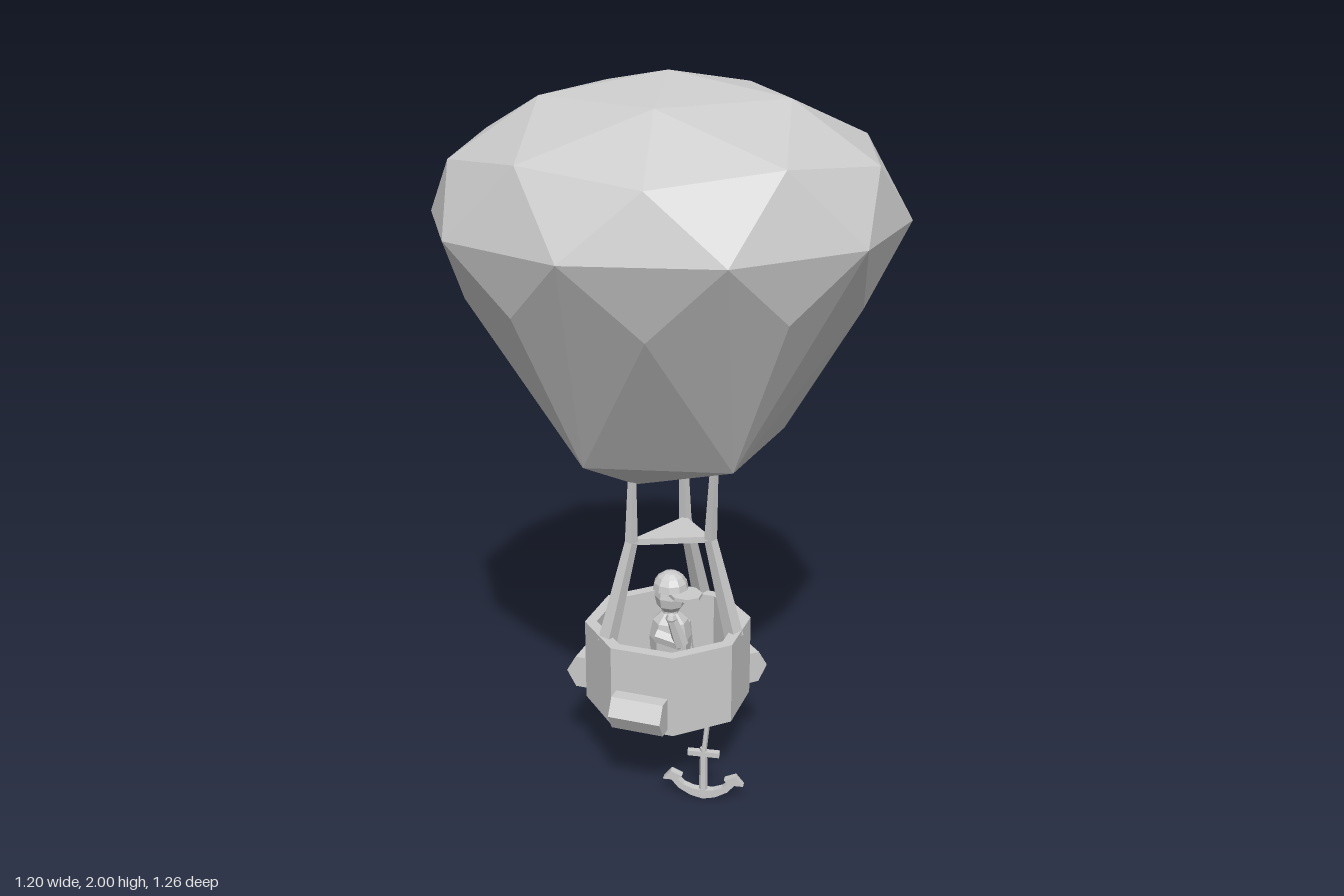
import * as THREE from 'three';
import { ConvexGeometry } from 'three/addons/geometries/ConvexGeometry.js';

const V = (x, y, z) => new THREE.Vector3(x, y, z);
const material = new THREE.MeshStandardMaterial({ color: 0xcccccc, flatShading: true, side: THREE.DoubleSide });

function add(parent, name, geometry, x = 0, y = 0, z = 0) {
  const mesh = new THREE.Mesh(geometry, material);
  mesh.name = name;
  mesh.position.set(x, y, z);
  parent.add(mesh);
  return mesh;
}

// Tapered bar between two points
function bar(parent, name, a, b, ra, rb, sides = 4) {
  const dir = b.clone().sub(a);
  const geometry = new THREE.CylinderGeometry(rb, ra, dir.length(), sides);
  geometry.rotateY(Math.PI / sides);
  const mesh = add(parent, name, geometry);
  mesh.position.copy(a).add(b).multiplyScalar(0.5);
  mesh.quaternion.setFromUnitVectors(V(0, 1, 0), dir.normalize());
  return mesh;
}

// Faceted envelope: rings of an icosphere, the lower half drawn down to a narrow mouth
function buildEnvelope(parent) {
  const points = [V(0, 2, 0), V(-0.11, 0.905, -0.02)];
  // radius, height, count, start angle in degrees
  const rings = [
    [0.331, 1.945, 5, 0], [0.563, 1.795, 5, 0], [0.536, 1.825, 5, 36],
    [0.63, 1.63, 10, 18],
    [0.563, 1.465, 5, 36], [0.536, 1.436, 5, 0], [0.331, 1.02, 5, 36],
  ];
  for (const [r, y, n, start] of rings) {
    for (let i = 0; i < n; i++) {
      const a = THREE.MathUtils.degToRad(start + (360 / n) * i);
      points.push(V(r * Math.cos(a), y, r * Math.sin(a)));
    }
  }
  add(parent, 'envelope', new ConvexGeometry(points));
}

// Hollow octagonal basket with three hexagonal bags on its sides
function buildBasket(parent) {
  const basket = new THREE.Group();
  basket.name = 'basket';
  basket.position.set(-0.012, 0, 0.01);
  parent.add(basket);
  const profile = [[0, 0.23], [0.237, 0.23], [0.237, 0.47], [0.203, 0.47], [0.203, 0.25], [0, 0.25]];
  add(basket, 'basketShell', new THREE.LatheGeometry(profile.map(p => new THREE.Vector2(...p)), 8));
  for (const degrees of [22.5, 157.5, -112.5]) {
    const a = THREE.MathUtils.degToRad(degrees);
    const geometry = new THREE.CylinderGeometry(0.055, 0.055, 0.15, 6).rotateZ(Math.PI / 2);
    const bag = add(basket, 'sideBag', geometry, 0.23 * Math.cos(a), 0.295, 0.23 * Math.sin(a));
    bag.rotation.y = Math.PI / 2 - a;
  }
}

// Three bent struts joined by a triangular plate
function buildRigging(parent) {
  const struts = [
    [V(0.06, 0.45, 0.195), V(0.03, 0.74, 0.13), V(0.02, 0.98, 0.15)],
    [V(0.205, 0.45, -0.05), V(0.095, 0.74, -0.02), V(0.085, 0.98, -0.02)],
    [V(-0.2, 0.45, -0.05), V(-0.13, 0.74, -0.02), V(-0.125, 0.94, -0.02)],
  ];
  for (const [base, knee, top] of struts) {
    bar(parent, 'lowerStrut', base, knee, 0.027, 0.018);
    bar(parent, 'upperStrut', knee, top, 0.018, 0.011);
  }
  const corners = struts.flatMap(([, k]) => [V(k.x, 0.73, k.z), V(k.x, 0.748, k.z)]);
  add(parent, 'spreaderPlate', new ConvexGeometry(corners));
}

// Passenger with a peaked cap and a raised right arm
function buildPassenger(parent) {
  const p = new THREE.Group();
  p.name = 'passenger';
  p.position.set(-0.035, 0, 0.04);
  parent.add(p);
  const torso = [[0, 0.25], [0.045, 0.25], [0.055, 0.36], [0.06, 0.44], [0.05, 0.49], [0.025, 0.515], [0.025, 0.54]];
  add(p, 'torso', new THREE.LatheGeometry(torso.map(q => new THREE.Vector2(...q)), 8));
  add(p, 'head', new THREE.SphereGeometry(0.045, 8, 6), 0, 0.565, 0).scale.y = 1.2;
  add(p, 'cap', new THREE.SphereGeometry(0.051, 10, 4, 0, Math.PI * 2, 0, Math.PI / 2), 0, 0.588, 0);
  const brim = add(p, 'capBrim', new THREE.CylinderGeometry(0.045, 0.045, 0.01, 8), 0, 0.584, 0.055);
  brim.scale.z = 1.1;
  const elbow = V(-0.035, 0.45, 0.07);
  bar(p, 'rightUpperArm', V(-0.055, 0.46, 0), elbow, 0.022, 0.02, 6);
  bar(p, 'rightForearm', elbow, V(-0.062, 0.53, 0.062), 0.022, 0.015, 6);
  add(p, 'rightHand', new THREE.SphereGeometry(0.017, 6, 4), -0.064, 0.535, 0.06);
  bar(p, 'leftArm', V(0.055, 0.46, 0), V(0.06, 0.34, 0.02), 0.022, 0.016, 6);
}

// Small anchor hanging under the basket
function buildAnchor(parent) {
  const anchor = new THREE.Group();
  anchor.name = 'anchor';
  anchor.position.set(-0.08, 0, 0.205);
  anchor.rotation.y = -1.03;
  parent.add(anchor);
  bar(anchor, 'rope', V(0, 0.14, 0), V(0.01, 0.24, 0), 0.008, 0.008, 5);
  bar(anchor, 'shank', V(0, 0.01, 0), V(0, 0.16, 0), 0.013, 0.01, 6);
  add(anchor, 'crossbar', new THREE.BoxGeometry(0.09, 0.015, 0.018), 0, 0.143, 0);
  // Curved arms ending in pointed flukes
  const half = [[0, 0], [0.035, 0.008], [0.07, 0.028], [0.09, 0.052], [0.115, 0.052], [0.092, 0.08],
    [0.06, 0.066], [0.072, 0.056], [0.055, 0.04], [0.03, 0.03], [0, 0.027]];
  const mirrored = half.slice(1, -1).reverse().map(([x, y]) => [-x, y]);
  const shape = new THREE.Shape([...half, ...mirrored].map(q => new THREE.Vector2(...q)));
  const arms = new THREE.ExtrudeGeometry(shape, { depth: 0.022, bevelEnabled: false });
  add(anchor, 'anchorArms', arms, 0, 0, -0.011);
}

export function createModel() {
  const model = new THREE.Group();
  model.name = 'hotAirBalloon';
  buildEnvelope(model);
  buildBasket(model);
  buildRigging(model);
  buildPassenger(model);
  buildAnchor(model);
  return model;
}
